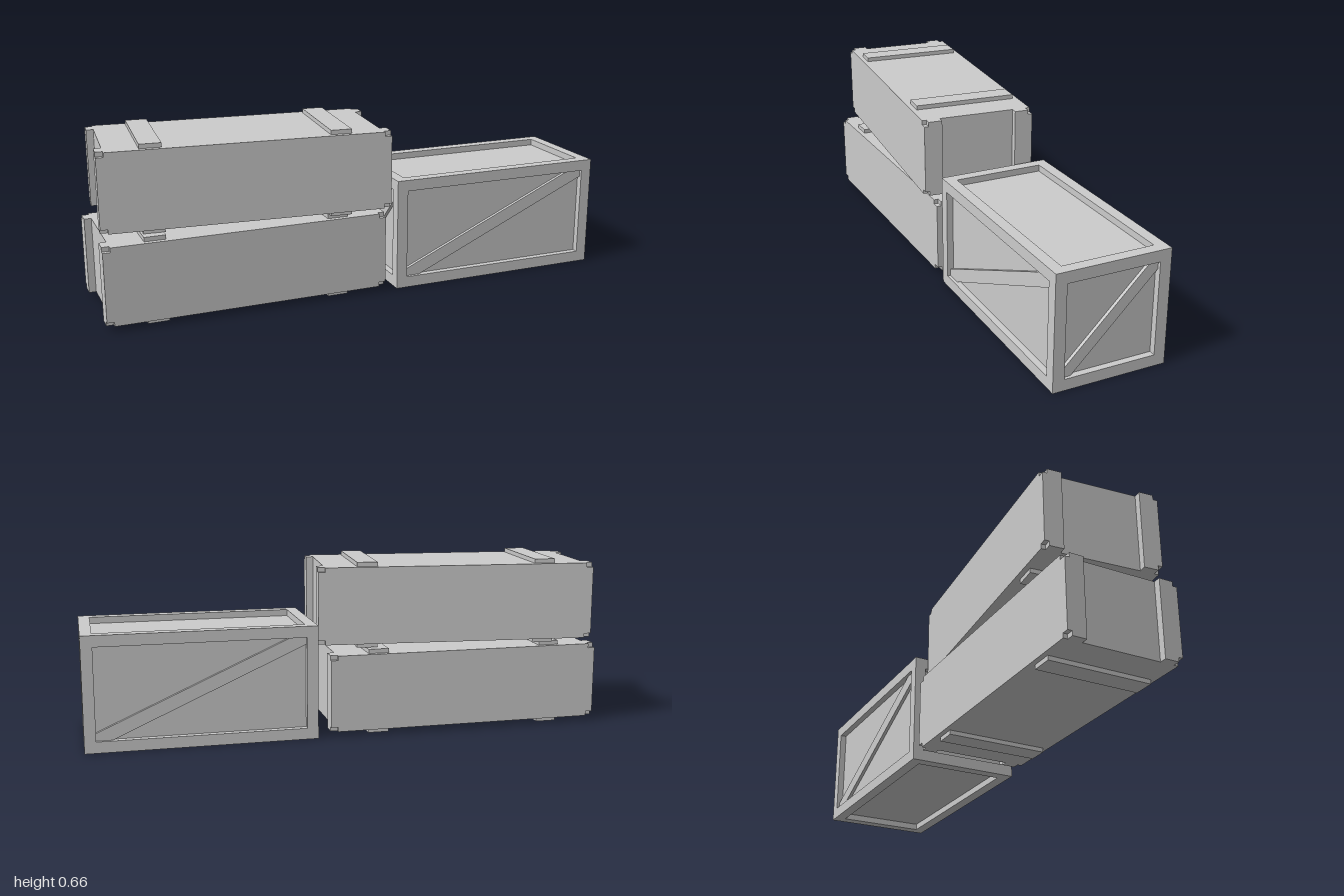
import * as THREE from 'three';

const material = new THREE.MeshStandardMaterial({ color: 0xcccccc, flatShading: true });

function addMesh(parent, name, geometry, x = 0, y = 0, z = 0) {
  const mesh = new THREE.Mesh(geometry, material);
  mesh.name = name;
  mesh.position.set(x, y, z);
  parent.add(mesh);
  return mesh;
}

const extrude = (shape, depth) => new THREE.ExtrudeGeometry(shape, { depth, bevelEnabled: false });
const polygon = (points) => new THREE.Shape(points.map(([x, y]) => new THREE.Vector2(x, y)));

// Long closed crate: plain body, notched corner posts on both ends, cross battens above and below
function longCrate(name) {
  const L = 1.08, H = 0.2955, W = 0.434;
  const batten = 0.0165, postDepth = 0.027, postWidth = 0.07, n = 0.017;
  const crate = new THREE.Group();
  crate.name = name;
  const midY = batten + H / 2;
  addMesh(crate, 'crateBody', new THREE.BoxGeometry(L - 2 * postDepth, H, W), 0, midY, 0);

  for (const end of [1, -1]) {
    const endGroup = new THREE.Group();
    endGroup.name = 'crateEnd';
    endGroup.rotation.y = end * Math.PI / 2;
    for (const s of [1, -1]) {
      // outer edge lies at s * W / 2, its top and bottom corners cut square
      const outer = s * W / 2, step = outer - s * n, inner = outer - s * postWidth;
      const post = polygon([
        [inner, -H / 2], [step, -H / 2], [step, -H / 2 + n], [outer, -H / 2 + n],
        [outer, H / 2 - n], [step, H / 2 - n], [step, H / 2], [inner, H / 2],
      ]);
      addMesh(endGroup, 'cornerPost', extrude(post, postDepth), 0, midY, L / 2 - postDepth);
    }
    crate.add(endGroup);
    for (const y of [batten / 2, batten * 1.5 + H])
      addMesh(crate, 'batten', new THREE.BoxGeometry(0.08, batten, 0.395), end * 0.349, y, 0);
  }
  return crate;
}

// Framed crate: recessed panels inside a square-edged frame, diagonal braces on the four sides
function framedCrate() {
  const L = 0.87, H = 0.436, W = 0.434, f = 0.043, recess = 0.025, brace = 0.013;
  const crate = new THREE.Group();
  crate.name = 'framedCrate';
  addMesh(crate, 'panels', new THREE.BoxGeometry(L - 2 * recess, H - 2 * recess, W - 2 * recess), 0, H / 2, 0);

  // Frame rails along each axis
  for (const a of [1, -1]) for (const b of [1, -1]) {
    const x = a * (L - f) / 2, z = b * (W - f) / 2;
    addMesh(crate, 'uprightRail', new THREE.BoxGeometry(f, H, f), x, H / 2, z);
    addMesh(crate, 'longRail', new THREE.BoxGeometry(L - 2 * f, f, f), 0, H / 2 + a * (H - f) / 2, z);
    addMesh(crate, 'crossRail', new THREE.BoxGeometry(f, f, W - 2 * f), x, H / 2 + b * (H - f) / 2, 0);
  }

  // Braces run from lower left to upper right of each opening, trimmed to its corners
  for (let i = 0; i < 4; i++) {
    const long = i % 2 === 0;
    const w = (long ? L : W) / 2 - f, h = H / 2 - f;
    const cutX = long ? 0.06 : 0.03, cutY = long ? 0.028 : 0.03;
    const shape = polygon([[-w, -h], [-w + cutX, -h], [w, h - cutY], [w, h], [w - cutX, h], [-w, -h + cutY]]);
    const side = new THREE.Group();
    side.name = 'braceSide';
    side.rotation.y = i * Math.PI / 2;
    addMesh(side, 'diagonalBrace', extrude(shape, brace), 0, H / 2, (long ? W : L) / 2 - recess);
    crate.add(side);
  }
  return crate;
}

export function createModel() {
  const model = new THREE.Group();
  model.name = 'crateStack';

  const lower = longCrate('lowerCrate');
  lower.position.set(-0.46, 0.004, 0);
  const upper = longCrate('upperCrate');
  upper.position.set(-0.438, 0.334, 0);
  upper.rotation.y = -THREE.MathUtils.degToRad(5);
  const framed = framedCrate();
  framed.position.set(0.565, 0, 0);

  model.add(lower, upper, framed);
  return model;
}
